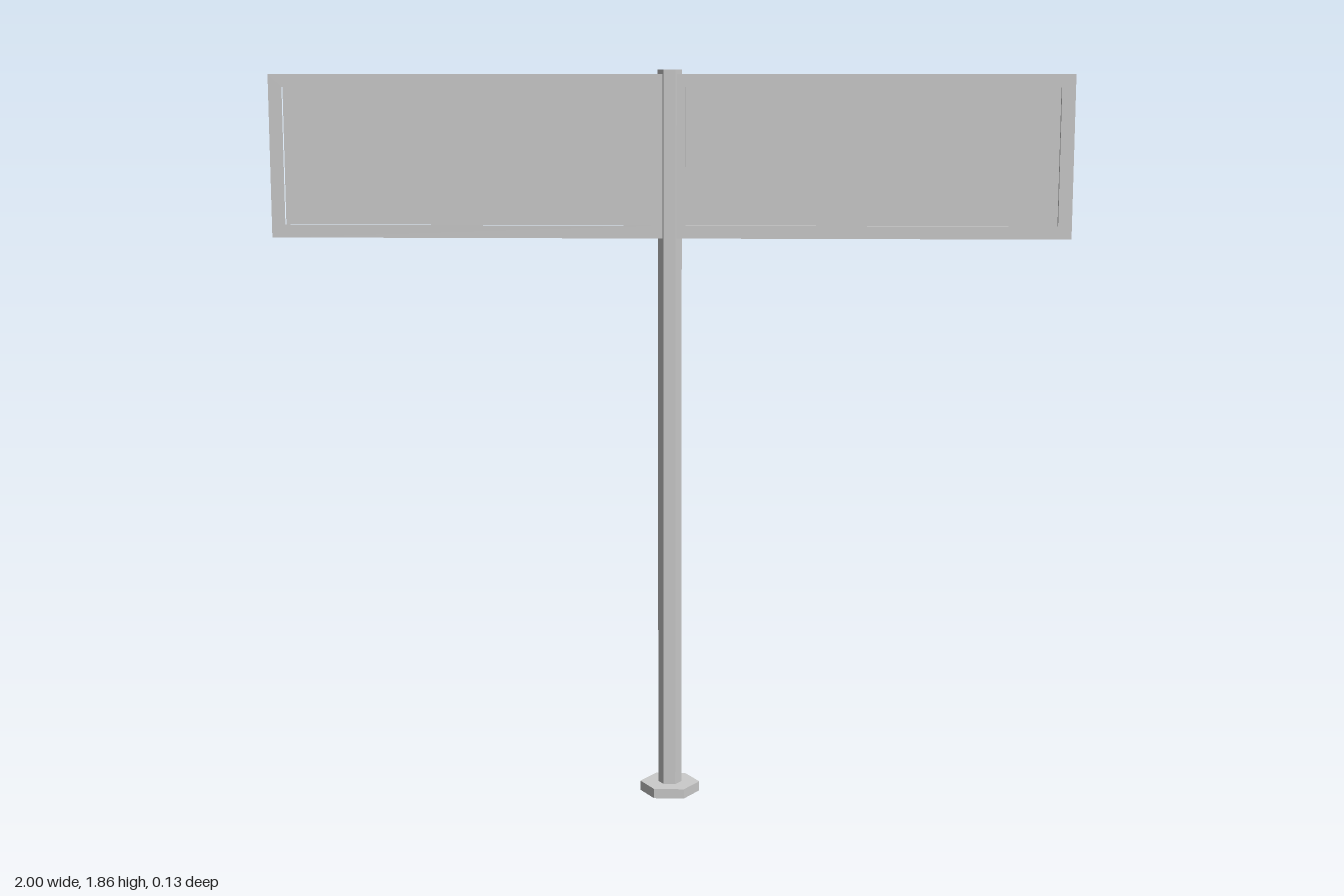
import * as THREE from 'three';

export function createModel() {
  const group = new THREE.Group();
  group.name = 'signpost';
  const material = new THREE.MeshStandardMaterial({ color: 0xcccccc, flatShading: true });

  const add = (name, geometry, x, y, z) => {
    const mesh = new THREE.Mesh(geometry, material);
    mesh.name = name;
    mesh.position.set(x, y, z);
    group.add(mesh);
  };

  // Upright hexagonal prism with corners on the x axis
  const hexPrism = (name, radius, y0, y1) => {
    const geometry = new THREE.CylinderGeometry(radius, radius, y1 - y0, 6);
    geometry.rotateY(Math.PI / 2);
    add(name, geometry, 0, (y0 + y1) / 2, 0);
  };
  hexPrism('base', 0.077, 0, 0.025);
  hexPrism('pole', 0.03, 0.025, 1.863);

  // Two framed boards, one on each side of the pole
  const bottom = 1.446, top = 1.852, thickness = 0.042, recess = 0.012;
  const inner = { x0: 0.04, x1: 0.966, y0: 1.478, y1: 1.82 };
  const rectangle = (path, x0, x1, y0, y1) =>
    path.moveTo(x0, y0).lineTo(x1, y0).lineTo(x1, y1).lineTo(x0, y1).closePath();

  for (const [label, side] of [['left', 1], ['right', -1]]) {
    const frame = new THREE.Shape();
    rectangle(frame, 0, side, bottom, top);
    const opening = new THREE.Path();
    rectangle(opening, side * inner.x0, side * inner.x1, inner.y0, inner.y1);
    frame.holes.push(opening);
    add(label + 'Frame', new THREE.ExtrudeGeometry(frame, { depth: thickness, bevelEnabled: false }),
      0, 0, -thickness / 2);

    // Recessed panel, set back on both faces
    add(label + 'Panel',
      new THREE.BoxGeometry(inner.x1 - inner.x0, inner.y1 - inner.y0, thickness - 2 * recess),
      side * (inner.x0 + inner.x1) / 2, (inner.y0 + inner.y1) / 2, 0);
  }

  return group;
}
